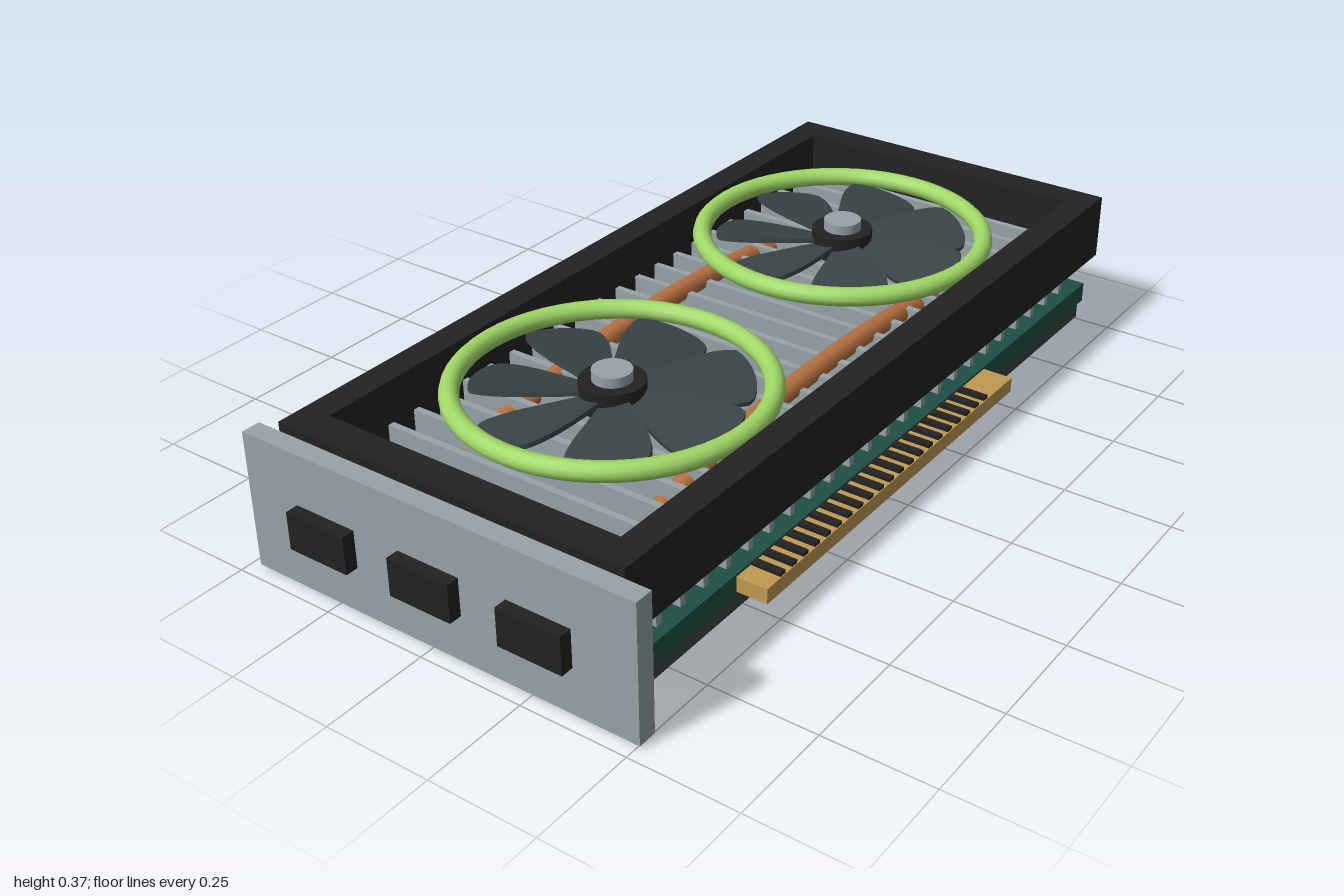
import * as THREE from 'three';

const mat = (name, color) => {
  const m = new THREE.MeshStandardMaterial({ color });
  m.name = name;
  return m;
};

export function createModel() {
  const black = mat('black', 0x222222);
  const graphite = mat('graphite', 0x3a4445);
  const green = mat('boardGreen', 0x1f5045);
  const silver = mat('silver', 0x96a3a8);
  const copper = mat('copper', 0xb87142);
  const gold = mat('gold', 0xbf9a52);
  const lime = mat('lime', 0xa0d866);

  const card = new THREE.Group();
  card.name = 'graphicsCard';
  const CX = 0.0375, CZ = 0.017; // centre of the board

  const add = (name, geometry, material, parent = card) => {
    const mesh = new THREE.Mesh(geometry, material);
    mesh.name = name;
    parent.add(mesh);
    return mesh;
  };
  // Box given by its limits on each axis
  const box = (name, material, [x0, x1], [y0, y1], [z0, z1]) => {
    const mesh = add(name, new THREE.BoxGeometry(x1 - x0, y1 - y0, z1 - z0), material);
    mesh.position.set((x0 + x1) / 2, (y0 + y1) / 2, (z0 + z1) / 2);
    return mesh;
  };
  const rect = (path, x, y) => path.moveTo(-x, -y).lineTo(x, -y).lineTo(x, y).lineTo(-x, y).closePath();

  // Board and backplate
  box('circuitBoard', green, [-0.925, 1], [0.055, 0.104], [-0.39, 0.424]);
  box('backplate', graphite, [-0.9, 0.975], [0.019, 0.055], [-0.389, 0.423]);
  for (const sx of [-1, 1]) for (const sz of [-1, 1]) {
    const screw = add('backplateScrew', new THREE.CylinderGeometry(0.025, 0.025, 0.022, 16), silver);
    screw.position.set(CX + sx * 0.868, 0.011, CZ + sz * 0.313);
  }

  // Open shroud frame
  const frame = new THREE.Shape();
  rect(frame, 0.9625, 0.432);
  const opening = new THREE.Path();
  rect(opening, 0.888, 0.366);
  frame.holes.push(opening);
  const shroud = add('shroud', new THREE.ExtrudeGeometry(frame, { depth: 0.157, bevelEnabled: false })
    .rotateX(-Math.PI / 2), black);
  shroud.position.set(CX, 0.191, CZ);
  box('accentStrip', lime, [-0.82, 0.9], [0.217, 0.262], [-0.432, -0.415]);

  // Heatsink fins
  for (let i = 0; i < 24; i++) {
    const x = -0.84 + i * 0.0763;
    box('heatsinkFin', silver, [x - 0.008, x + 0.008], [0.104, 0.25], [-0.363, 0.398]);
  }

  // Arched heat pipes
  for (const z of [-0.218, 0.245]) {
    const curve = new THREE.CatmullRomCurve3([[-0.77, 0.155], [-0.385, 0.228], [0, 0.25], [0.385, 0.228], [0.77, 0.155]]
      .map(([x, y]) => new THREE.Vector3(CX + x, y, z)));
    add('heatPipe', new THREE.TubeGeometry(curve, 32, 0.024, 12), copper);
    for (const s of [-1, 1]) {
      const cap = add('heatPipeEnd', new THREE.CircleGeometry(0.024, 12), copper);
      cap.position.set(CX + s * 0.77, 0.155, z);
      cap.rotation.set(0, s * Math.PI / 2, 0);
    }
  }

  // Fans: ring, hub, cap and seven tilted blades
  const blade = new THREE.Shape();
  blade.moveTo(0.05, -0.025);
  blade.bezierCurveTo(0.12, -0.05, 0.2, -0.11, 0.265, -0.1);
  blade.bezierCurveTo(0.305, -0.08, 0.315, 0.03, 0.285, 0.07);
  blade.bezierCurveTo(0.24, 0.09, 0.14, 0.06, 0.05, 0.03);
  const bladeGeometry = new THREE.ExtrudeGeometry(blade, { depth: 0.01, bevelEnabled: false, curveSegments: 8 })
    .rotateX(-Math.PI / 2).rotateX(0.18);
  for (const x of [-0.445, 0.445]) {
    const fan = new THREE.Group();
    fan.name = 'fan';
    fan.position.set(CX + x, 0, CZ);
    card.add(fan);
    add('fanRing', new THREE.TorusGeometry(0.335, 0.022, 12, 56).rotateX(Math.PI / 2), lime, fan).position.y = 0.334;
    add('fanHub', new THREE.CylinderGeometry(0.072, 0.072, 0.06, 28), black, fan).position.y = 0.318;
    add('fanCap', new THREE.CylinderGeometry(0.044, 0.044, 0.03, 24), silver, fan).position.y = 0.356;
    for (let i = 0; i < 7; i++) {
      const b = add('fanBlade', bladeGeometry, graphite, fan);
      b.position.y = 0.312;
      b.rotation.y = (13 / 180 + i * 2 / 7) * Math.PI;
    }
  }

  // Mounting bracket with three ports
  box('bracket', silver, [-0.97, -0.925], [0.008, 0.327], [-0.473, 0.508]);
  for (const z of [-0.26, 0.01, 0.28])
    box('displayPort', black, [-1, -0.97], [0.117, 0.205], [z - 0.077, z + 0.077]);

  // Edge connector with dark contact gaps
  box('edgeConnector', gold, [-0.545, 0.47], [0.062, 0.098], [0.42, 0.497]);
  for (let i = 0; i < 21; i++) {
    const x = -0.487 + i * 0.0417;
    box('contactGap', black, [x - 0.009, x + 0.009], [0.098, 0.106], [0.425, 0.495]);
  }

  // Power socket and pins
  box('powerSocket', black, [0.663, 0.825], [0.104, 0.2], [-0.495, -0.385]);
  for (let i = 0; i < 4; i++) {
    const x = 0.687 + i * 0.038;
    box('powerPin', gold, [x - 0.01, x + 0.01], [0.153, 0.184], [-0.508, -0.495]);
  }

  return card;
}
